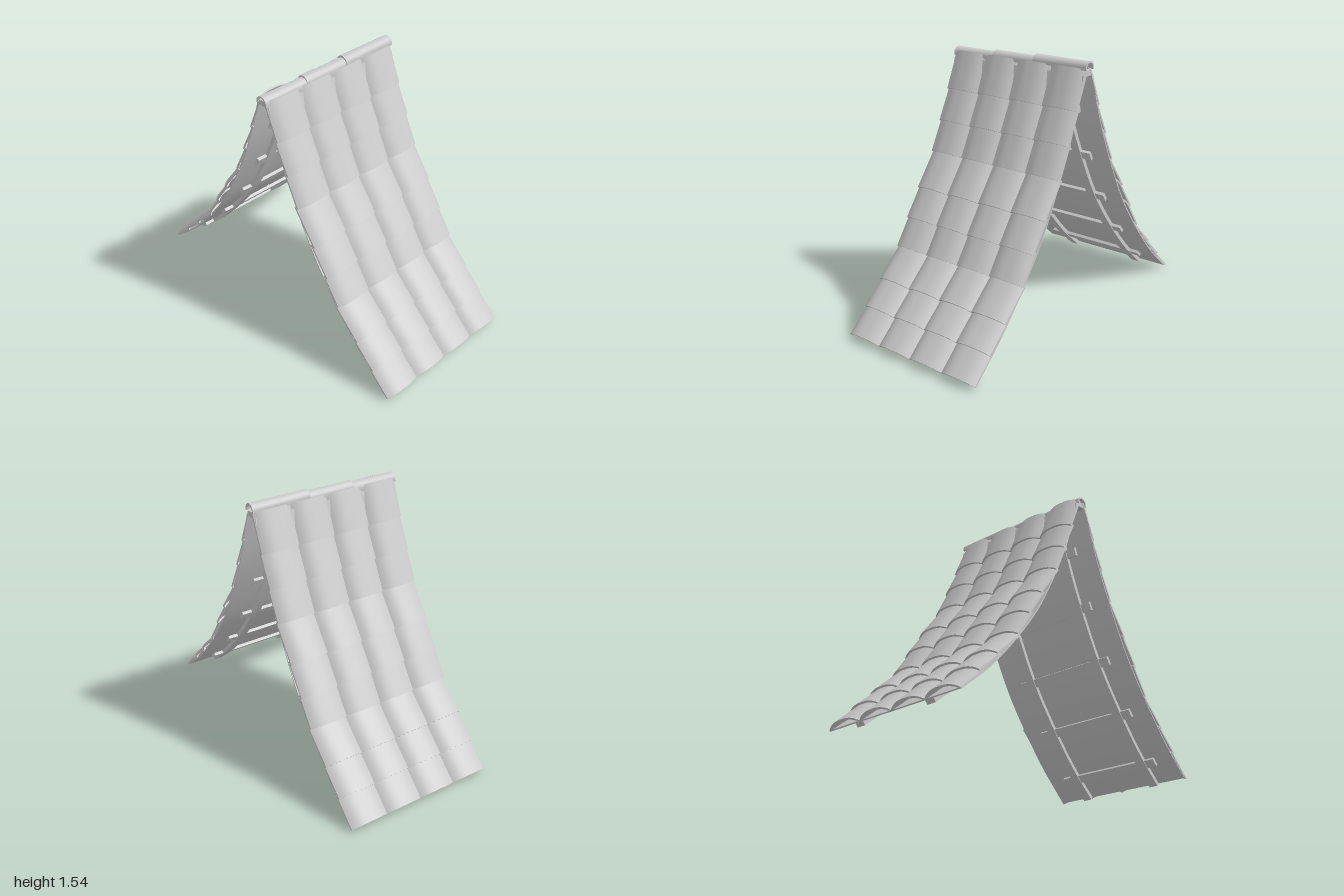
import * as THREE from 'three';
import { toCreasedNormals } from 'three/addons/utils/BufferGeometryUtils.js';

const material = new THREE.MeshStandardMaterial({ color: 0xcccccc, side: THREE.DoubleSide });
const V2 = (x, y) => new THREE.Vector2(x, y);

function extrude(points, depth) {
  const geo = new THREE.ExtrudeGeometry(new THREE.Shape(points), { depth, bevelEnabled: false, steps: 1 });
  return toCreasedNormals(geo, 0.6);
}

function add(parent, name, geo) {
  const mesh = new THREE.Mesh(geo, material);
  mesh.name = name;
  parent.add(mesh);
  return mesh;
}

// Crest of each tile row's lower edge, eaves to ridge (last point is the top end)
const rows = [
  [1.0, 0.045], [0.88, 0.172], [0.755, 0.3], [0.61, 0.45], [0.52, 0.602],
  [0.42, 0.762], [0.295, 0.95], [0.22, 1.123], [0.145, 1.3], [0.057, 1.512],
].map(p => V2(...p));

// Underside of the rafters, a sagging curve
const sag = new THREE.SplineCurve([
  [0.945, 0], [0.755, 0.167], [0.56, 0.385], [0.378, 0.63], [0.22, 0.92], [0.105, 1.18], [0.015, 1.46],
].map(p => V2(...p)));

// Point on the sagging curve, moved outward by the given offset
function sagPoint(u, offset) {
  const t = sag.getTangentAt(u);
  return sag.getPointAt(u).add(V2(t.y, -t.x).multiplyScalar(offset));
}

// Curved strip between two offsets of the sagging curve
function band(from, to, width) {
  const inner = [], outer = [], n = 28;
  for (let i = 0; i <= n; i++) {
    inner.push(sagPoint(i / n, from));
    outer.push(sagPoint(i / n, to));
  }
  return extrude([...inner, ...outer.reverse()], width).translate(0, 0, -width / 2);
}

// Arched tile cross-section, crest at y = 0
const tileWidth = 0.2325, tileRise = 0.035, tileThick = 0.011;
function tileSection() {
  const top = [], under = [], n = 18;
  for (let i = 0; i <= n; i++) {
    const s = (i / n) * 2 - 1;
    const y = -tileRise * Math.abs(s) ** 2.8;
    top.push(V2(s * tileWidth / 2, y));
    under.push(V2(s * tileWidth / 2, y - tileThick));
  }
  return [...under, ...top.reverse()];
}

function createSlope(name) {
  const slope = new THREE.Group();
  slope.name = name;

  // Overlapping tiles, each upper end tucked under the next row
  const section = tileSection();
  for (let r = 0; r < rows.length - 1; r++) {
    const last = r === rows.length - 2;
    const low = rows[r], dir = rows[r + 1].clone().sub(low).normalize();
    const high = rows[r + 1].clone()
      .addScaledVector(V2(dir.y, -dir.x), last ? -0.004 : -0.014)
      .addScaledVector(dir, last ? 0 : 0.02);
    const d = high.clone().sub(low), length = d.length();
    d.normalize();
    const geo = extrude(section, length);
    const frame = new THREE.Matrix4().makeBasis(
      new THREE.Vector3(0, 0, 1), new THREE.Vector3(d.y, -d.x, 0), new THREE.Vector3(d.x, d.y, 0));
    for (let c = 0; c < 4; c++) {
      const tile = add(slope, 'roofTile', geo);
      tile.quaternion.setFromRotationMatrix(frame);
      tile.position.set(low.x, low.y, (c - 1.5) * tileWidth);
    }
  }

  // Thin sheathing on two rafters
  add(slope, 'sheathing', band(0.024, 0.031, 0.92));
  for (const z of [-0.25, 0.25]) add(slope, 'rafter', band(0, 0.026, 0.056)).position.z = z;

  // Cross battens under the sheathing
  for (let i = 0; i < 5; i++) {
    const u = 0.09 + i * 0.195, p = sagPoint(u, 0.015), t = sag.getTangentAt(u);
    const batten = add(slope, 'batten', new THREE.BoxGeometry(0.052, 0.02, 0.68));
    batten.position.set(p.x, p.y, 0);
    batten.rotation.z = Math.atan2(t.y, t.x);
  }
  return slope;
}

// Half-pipe ridge cap section with short straight legs, top at y = 0
function capSection() {
  const outer = [], inner = [], R = 0.039, r = 0.029, leg = 0.047;
  outer.push(V2(R, -leg));
  inner.push(V2(r, -leg));
  for (let i = 0; i <= 16; i++) {
    const a = (i / 16) * Math.PI;
    outer.push(V2(R * Math.cos(a), R * Math.sin(a) - R));
    inner.push(V2(r * Math.cos(a), r * Math.sin(a) - R));
  }
  outer.push(V2(-R, -leg));
  inner.push(V2(-r, -leg));
  return [...outer, ...inner.reverse()];
}

export function createModel() {
  const model = new THREE.Group();
  model.name = 'curvedTiledRoof';

  const left = createSlope('leftSlope');
  const right = createSlope('rightSlope');
  right.rotation.y = Math.PI;
  model.add(left, right);

  // Three ridge caps, each lapping over the one in front
  const capGeo = extrude(capSection(), 0.36);
  [[0.11, 1.522], [-0.18, 1.532], [-0.47, 1.543]].forEach(([z, y]) => {
    add(model, 'ridgeCap', capGeo).position.set(0, y, z);
  });

  // Ridge beam
  add(model, 'ridgeBeam', new THREE.BoxGeometry(0.052, 0.032, 0.92)).position.y = 1.477;
  return model;
}
